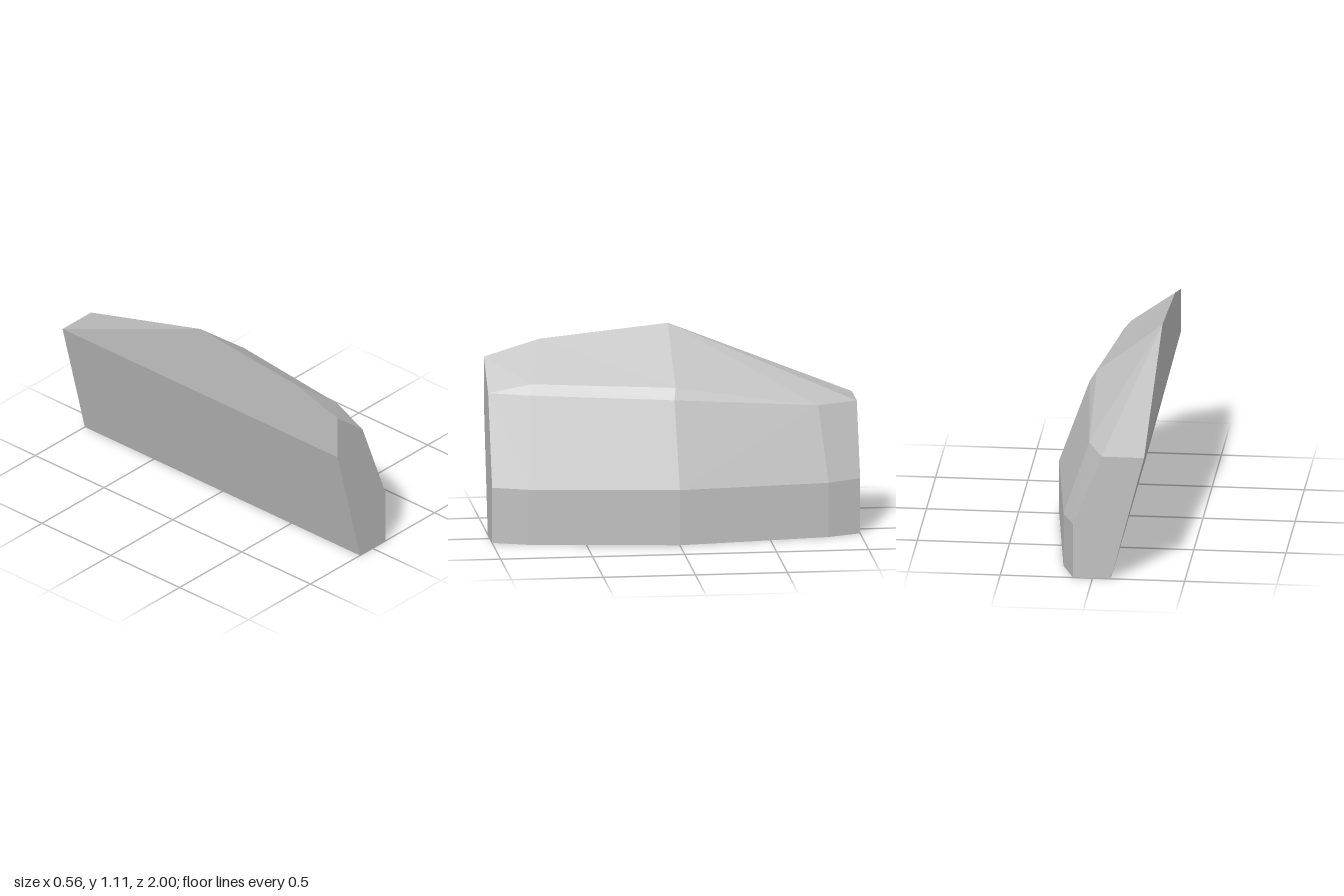
import * as THREE from 'three';

// Cross-sections from front to back. Each runs: inner bottom, outer bottom,
// outer waist, lower shoulder, upper shoulder, inner top, inner waist.
const APEX = [-0.28, 1.105, 0];
const SECTIONS = [
  [[-0.1, 0, 1], [0.105, 0, 1], [0.105, 0.305, 1], [-0.08, 0.787, 1], [-0.08, 0.787, 1], [-0.28, 0.945, 1], [-0.28, 0.7, 1]],
  [[-0.1, 0, 0.8], [0.175, 0, 0.81], [0.175, 0.305, 0.81], [0.005, 0.787, 0.78], [-0.035, 0.84, 0.77], [-0.28, 1.035, 0.7], [-0.28, 0.7, 0.7]],
  [[-0.1, 0, 0], [0.28, 0, 0], [0.28, 0.305, 0], [0.115, 0.765, 0.01], [0.075, 0.825, 0], APEX, [-0.28, 0.7, 0]],
  [[-0.1, 0, -0.8], [0.175, 0, -0.82], [0.175, 0.3, -0.82], [0.04, 0.7, -0.78], [0.04, 0.7, -0.78], APEX, [-0.28, 0.7, -0.8]],
  [[-0.1, 0, -1], [0.105, 0, -1], [0.105, 0.305, -1], [-0.05, 0.7, -1], [-0.05, 0.7, -1], [-0.28, 0.7, -1], [-0.28, 0.7, -1]],
];

function loft(sections) {
  const positions = [];
  const tri = (...points) => {
    // Leave out triangles that collapse where two profile points meet
    const [a, b, c] = points.map((p) => new THREE.Vector3(...p));
    if (b.sub(a).cross(c.sub(a)).length() > 1e-6) positions.push(...points.flat());
  };
  const n = sections[0].length;

  // Skin between neighbouring sections
  for (let i = 0; i < sections.length - 1; i++) {
    for (let j = 0; j < n; j++) {
      const k = (j + 1) % n;
      const a = sections[i][j], b = sections[i][k];
      const c = sections[i + 1][k], d = sections[i + 1][j];
      if (i === 2) {
        tri(a, c, b);
        tri(a, d, c);
      } else {
        tri(a, d, b);
        tri(b, d, c);
      }
    }
  }

  // Flat end caps
  const front = sections[0], back = sections[sections.length - 1];
  for (let j = 1; j < n - 1; j++) {
    tri(front[0], front[j], front[j + 1]);
    tri(back[0], back[j + 1], back[j]);
  }

  const geometry = new THREE.BufferGeometry();
  geometry.setAttribute('position', new THREE.Float32BufferAttribute(positions, 3));
  geometry.computeVertexNormals();
  return geometry;
}

export function createModel() {
  const grey = new THREE.MeshStandardMaterial({ color: 0xc0c0c0, flatShading: true });
  grey.name = 'light grey';

  const shell = new THREE.Mesh(loft(SECTIONS), grey);
  shell.name = 'facetedShell';

  const model = new THREE.Group();
  model.name = 'facetedPanel';
  model.add(shell);
  return model;
}
